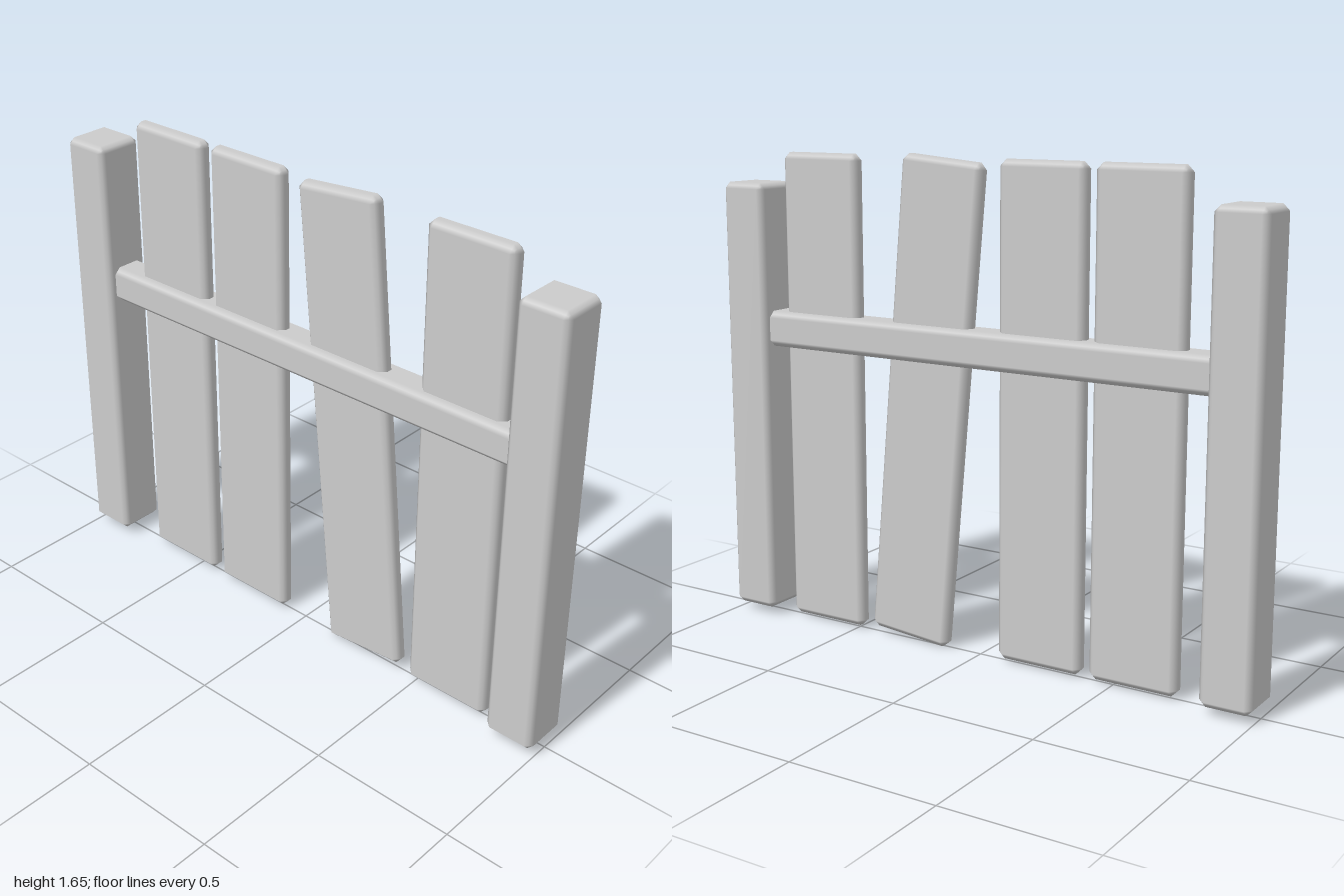
import * as THREE from 'three';
import { RoundedBoxGeometry } from 'three/addons/geometries/RoundedBoxGeometry.js';

const material = new THREE.MeshStandardMaterial({ color: 0xcccccc });

// Box with straight chamfers and softly shaded edges
function chamferBox(w, h, d, c) {
  const geometry = new RoundedBoxGeometry(w, h, d, 1, c);
  const p = geometry.attributes.position;
  const n = geometry.attributes.normal;
  const pos = new THREE.Vector3();
  const dir = new THREE.Vector3();
  for (let i = 0; i < p.count; i++) {
    pos.fromBufferAttribute(p, i);
    dir.fromBufferAttribute(n, i);
    // pull the rounded edge back onto the flat chamfer
    const pull = c * (1 / dir.manhattanLength() - 1);
    pos.addScaledVector(dir, pull);
    p.setXYZ(i, pos.x, pos.y, pos.z);
  }
  return geometry;
}

export function createModel() {
  const fence = new THREE.Group();
  fence.name = 'fencePanel';

  const add = (name, geometry, y, z, tilt = 0) => {
    const mesh = new THREE.Mesh(geometry, material);
    mesh.name = name;
    mesh.position.set(0, y, z);
    mesh.rotation.x = tilt;
    fence.add(mesh);
  };

  // End posts
  const post = chamferBox(0.174, 1.508, 0.174, 0.021);
  add('frontPost', post, 0.785, 0.913);
  add('backPost', post, 0.785, -0.913);

  // Cross rail running between the posts
  add('rail', chamferBox(0.122, 0.122, 1.69, 0.022), 1.04, 0);

  // Planks, one of them hanging crooked
  const plank = chamferBox(0.062, 1.63, 0.31, 0.022);
  const planks = [
    [0.828, 0.626, 0],
    [0.828, 0.207, -0.089],
    [0.828, -0.233, 0],
    [0.828, -0.573, 0],
  ];
  planks.forEach(([y, z, tilt], i) => add(`plank${i + 1}`, plank, y, z, tilt));

  return fence;
}
